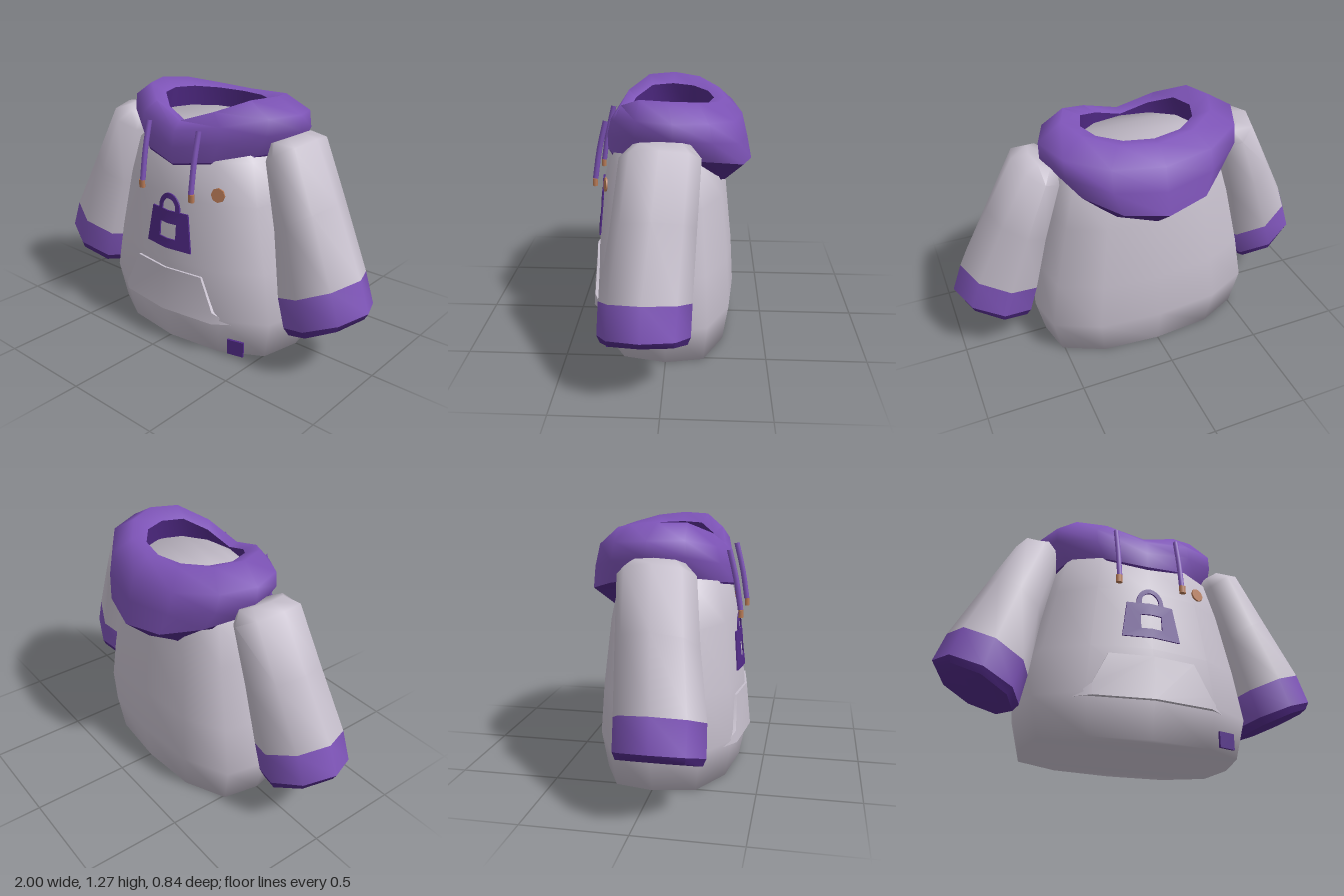
import * as THREE from 'three';
import { mergeGeometries, toCreasedNormals } from 'three/addons/utils/BufferGeometryUtils.js';

const mat = (name, color) => {
  const m = new THREE.MeshStandardMaterial({ color });
  m.name = name;
  return m;
};

// Skin closed rings (anticlockwise seen from above, listed upwards), with optional caps
function loft(rings, capStart, capEnd, crease) {
  const n = rings[0].length, idx = [];
  for (let i = 0; i < rings.length - 1; i++) {
    for (let j = 0; j < n; j++) {
      const a = i * n + j, b = i * n + (j + 1) % n;
      idx.push(a, b, a + n, b, b + n, a + n);
    }
  }
  // Zigzag across the ring
  const cap = (r, flip) => {
    const tri = (a, b, c) => idx.push(r * n + a, r * n + (flip ? c : b), r * n + (flip ? b : c));
    for (let lo = 0, hi = n - 1; hi - lo > 1;) {
      tri(lo, lo + 1, hi);
      lo++;
      if (hi - lo > 1) tri(lo, hi - 1, hi);
      hi--;
    }
  };
  if (capStart) cap(0, true);
  if (capEnd) cap(rings.length - 1, false);
  const g = new THREE.BufferGeometry();
  g.setAttribute('position', new THREE.Float32BufferAttribute(rings.flat(2), 3));
  g.setIndex(idx);
  return toCreasedNormals(g, crease);
}

// Body: height, half width, front depth, back depth
const BODY = [
  [0, 0.55, 0.365, 0.31], [0.2, 0.595, 0.405, 0.34], [0.45, 0.55, 0.385, 0.325],
  [0.78, 0.475, 0.35, 0.29], [0.98, 0.42, 0.305, 0.25], [1.06, 0.34, 0.24, 0.23],
  [1.12, 0.31, 0.23, 0.23],
];
const SECTION = [[0, 1], [0.55, 0.89], [0.92, 0.57], [1, 0], [0.93, -0.6], [0.55, -0.92],
  [0, -1], [-0.55, -0.92], [-0.93, -0.6], [-1, 0], [-0.92, 0.57], [-0.55, 0.89]];

// Depth of the body's front surface at x, y
function frontZ(x, y) {
  let i = 0;
  while (i < BODY.length - 2 && y > BODY[i + 1][0]) i++;
  const t = (y - BODY[i][0]) / (BODY[i + 1][0] - BODY[i][0]);
  const mix = k => THREE.MathUtils.lerp(BODY[i][k], BODY[i + 1][k], t);
  const u = Math.min(Math.abs(x) / mix(1), 0.999);
  let j = 0;
  while (u > SECTION[j + 1][0]) j++;
  const [a, b] = [SECTION[j], SECTION[j + 1]];
  return mix(2) * THREE.MathUtils.lerp(a[1], b[1], (u - a[0]) / (b[0] - a[0]));
}

// Mirrored pair of thin plates, their back laid on the surface z = surface(x, y)
function platePair(points, depth, surface) {
  return toCreasedNormals(mergeGeometries([1, -1].map(s => {
    const shape = new THREE.Shape(points.map(([x, y]) => new THREE.Vector2(x * s, y)));
    const g = new THREE.ExtrudeGeometry(shape, { depth, bevelEnabled: false });
    const p = g.attributes.position;
    for (let i = 0; i < p.count; i++) p.setZ(i, p.getZ(i) + surface(p.getX(i), p.getY(i)));
    return g;
  })), 0.6);
}

// Sleeve rings: outer xy, inner xy, back z, front z (cuff end first)
const SLEEVE = [
  [0.98, 0.335, 0.605, 0.165, -0.115, 0.285], [1.0, 0.37, 0.575, 0.2, -0.13, 0.3],
  [0.945, 0.52, 0.535, 0.345, -0.135, 0.295], [0.78, 0.84, 0.485, 0.66, -0.15, 0.245],
  [0.635, 1.115, 0.41, 0.98, -0.165, 0.21], [0.55, 1.13, 0.42, 1.07, -0.115, 0.15],
];
function sleeveRings(rows, s) {
  return rows.map(([ox, oy, ix, iy, zb, zf]) => Array.from({ length: 8 }, (_, j) => {
    const k = Math.sin(s * j * Math.PI / 4), c = Math.cos(j * Math.PI / 4);
    return [s * ((ox + ix) / 2 + (ox - ix) / 2 * k), (oy + iy) / 2 + (oy - iy) / 2 * k,
      (zf + zb) / 2 + (zf - zb) / 2 * c];
  }));
}

// Hood rows: half width, front z, back z, side y, front y, back y
const HOOD = [
  [0.33, 0.24, -0.2, 0.99, 0.95, 0.82], [0.41, 0.32, -0.28, 1.0, 0.93, 0.775],
  [0.43, 0.328, -0.42, 1.01, 0.94, 0.9], [0.51, 0.33, -0.395, 1.12, 1.02, 1.02],
  [0.51, 0.31, -0.365, 1.2, 1.1, 1.14], [0.385, 0.27, -0.28, 1.275, 1.145, 1.22],
  [0.29, 0.22, -0.22, 1.23, 1.13, 1.215], [0.33, 0.23, -0.22, 1.05, 1.03, 1.05],
];
// Hood rings with a notched front
function hoodRings(rows) {
  return rows.map(([w, zf, zb, ys, yf, yb]) => Array.from({ length: 12 }, (_, j) => {
    const a = j * Math.PI / 6, c = Math.cos(a), front = c > 0;
    const y = ys + ((front ? yf : yb) - ys) * Math.abs(c) ** (front ? 5 : 2);
    return [w * Math.sin(a), y, (zf + zb) / 2 + (zf - zb) / 2 * c];
  }));
}

export function createModel() {
  const model = new THREE.Group();
  const fabric = mat('pale grey fabric', 0xc6bfcc);
  const purple = mat('purple trim', 0x7e54b8);
  const dark = mat('dark purple', 0x512a87);
  const copper = mat('copper', 0xb87a56);
  const add = (name, geometry, material) => {
    const m = new THREE.Mesh(geometry, material);
    m.name = name;
    model.add(m);
    return m;
  };

  add('body', loft(BODY.map(([y, w, f, b]) =>
    SECTION.map(([u, v]) => [u * w, y, v * (v > 0 ? f : b)])), true, true, 2), fabric);

  // Rolled hood, dark underneath and inside
  add('hood', loft(hoodRings(HOOD.slice(2, 7)), false, false, 1.3), purple);
  add('hoodUnderside', loft(hoodRings(HOOD.slice(0, 3)), false, false, 0.9), dark);
  add('hoodLining', loft(hoodRings(HOOD.slice(6)), false, false, 0.9), dark);

  // Front pocket
  const pocket = [[0, 0.18], [0.3, 0.18], [0.38, 0.18], [0.3, 0.24], [0.22, 0.405], [0, 0.405]];
  add('pocket', platePair(pocket, 0.03, (x, y) => {
    const u = Math.abs(x);
    return 0.41 - 0.1 * y - 0.13 * u - 0.6 * Math.max(0, u - 0.3);
  }), fabric);

  // Bag print with a square window and an arched handle, as half outlines
  const onChest = (x, y) => frontZ(x, y) + 0.002;
  const bag = [[0, 0.51], [0.15, 0.51], [0.12, 0.705], [0, 0.705], [0, 0.64],
    [0.055, 0.64], [0.055, 0.56], [0, 0.56]];
  const arc = (rx, ry, i) => [rx * Math.cos(i * Math.PI / 12), 0.715 + ry * Math.sin(i * Math.PI / 12)];
  const handle = [[0.07, 0.7]];
  for (let i = 0; i <= 6; i++) handle.push(arc(0.07, 0.078, i));
  for (let i = 6; i >= 0; i--) handle.push(arc(0.046, 0.052, i));
  handle.push([0.046, 0.7]);
  add('bagPrint', platePair(bag, 0.008, onChest), dark);
  add('bagHandlePrint', platePair(handle, 0.008, onChest), dark);

  for (const s of [1, -1]) {
    const side = s > 0 ? 'left' : 'right';
    add(side + 'Sleeve', loft(sleeveRings(SLEEVE.slice(2), s), false, true, 1.2), fabric);
    add(side + 'Cuff', loft(sleeveRings(SLEEVE.slice(1, 3), s), false, false, 0.9), purple);
    add(side + 'CuffEnd', loft(sleeveRings(SLEEVE.slice(0, 2), s), true, false, 0.9), dark);

    // Drawstring with a metal tip
    const path = new THREE.CatmullRomCurve3([[1.13, 0.314], [0.98, 0.35], [0.83, 0.374]]
      .map(([y, z]) => new THREE.Vector3(s * 0.167, y, z)));
    add(side + 'Drawstring', new THREE.TubeGeometry(path, 6, 0.014, 8), purple);
    const tip = add(side + 'DrawstringTip', new THREE.CylinderGeometry(0.018, 0.018, 0.04, 8), copper);
    tip.position.set(s * 0.17, 0.812, 0.376);
    tip.scale.z = 0.7;
  }

  // Small round badge on the chest
  const badge = add('chestBadge', new THREE.CylinderGeometry(0.036, 0.036, 0.009, 8), copper);
  badge.position.set(0.282, 0.835, 0.308);
  badge.rotation.set(Math.PI / 2 - 0.1, 0, -0.3);

  // Sewn tag at the hem
  const tag = add('hemTag', new THREE.BoxGeometry(0.088, 0.08, 0.012), dark);
  tag.position.set(0.402, 0.054, 0.313);
  tag.rotation.y = 0.25;
  return model;
}
